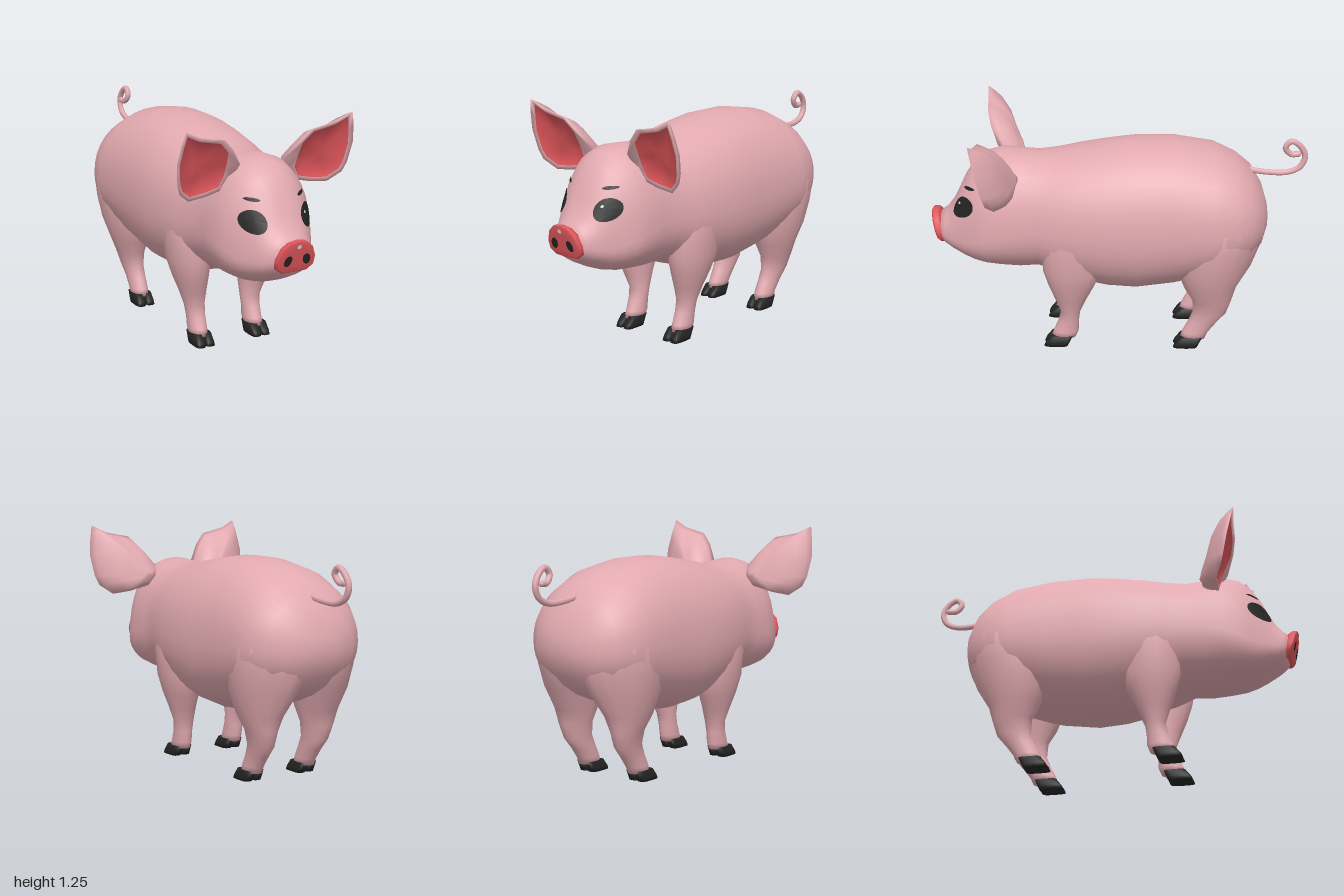
import * as THREE from 'three';

const mat = (name, color) => Object.assign(new THREE.MeshStandardMaterial({ color }), { name });
const lerp = THREE.MathUtils.lerp;
const V = (x, y, z) => new THREE.Vector3(x, y, z);

// Closed skin over equal-length rings of points, wound outward; rings from `split` on get material 1
function loft(rings, split) {
  const n = rings[0].length, pos = [], idx = [];
  rings.forEach(r => r.forEach(p => pos.push(p.x, p.y, p.z)));
  const last = rings.length - 1;
  const centre = r => {
    const c = V(0, 0, 0);
    r.forEach(p => c.addScaledVector(p, 1 / n));
    pos.push(c.x, c.y, c.z);
    return pos.length / 3 - 1;
  };
  const c0 = centre(rings[0]), c1 = centre(rings[last]);
  for (let i = 0; i < n; i++) idx.push(c0, (i + 1) % n, i);
  let splitAt = 0;
  for (let k = 0; k < last; k++) {
    if (k === split) splitAt = idx.length;
    for (let i = 0; i < n; i++) {
      const a = k * n + i, b = k * n + (i + 1) % n;
      idx.push(a, b, b + n, a, b + n, a + n);
    }
  }
  for (let i = 0; i < n; i++) idx.push(c1, last * n + i, last * n + (i + 1) % n);
  // Signed volume decides the winding
  let vol = 0;
  const at = i => V(pos[3 * i], pos[3 * i + 1], pos[3 * i + 2]);
  for (let i = 0; i < idx.length; i += 3) vol += at(idx[i]).dot(at(idx[i + 1]).cross(at(idx[i + 2])));
  if (vol < 0) for (let i = 0; i < idx.length; i += 3) [idx[i + 1], idx[i + 2]] = [idx[i + 2], idx[i + 1]];
  const g = new THREE.BufferGeometry();
  g.setAttribute('position', new THREE.Float32BufferAttribute(pos, 3));
  g.setIndex(idx);
  if (split !== undefined) {
    g.addGroup(0, splitAt, 0);
    g.addGroup(splitAt, idx.length - splitAt, 1);
  }
  g.computeVertexNormals();
  return g;
}

// Torso and head sections from snout to rump: z, bottom, widest height, top, half width
const BODY = [
  [0.955, 0.57, 0.62, 0.70, 0.095], [0.92, 0.535, 0.61, 0.725, 0.118], [0.88, 0.51, 0.6, 0.775, 0.145],
  [0.85, 0.495, 0.6, 0.835, 0.163], [0.81, 0.475, 0.6, 0.92, 0.188], [0.76, 0.455, 0.61, 0.995, 0.218],
  [0.70, 0.44, 0.63, 1.045, 0.25], [0.62, 0.43, 0.66, 1.067, 0.268], [0.52, 0.42, 0.68, 1.06, 0.267],
  [0.42, 0.43, 0.69, 1.05, 0.277], [0.32, 0.39, 0.69, 1.06, 0.312], [0.2, 0.35, 0.69, 1.085, 0.335],
  [0.05, 0.32, 0.69, 1.11, 0.355], [-0.1, 0.31, 0.69, 1.13, 0.357], [-0.3, 0.34, 0.7, 1.13, 0.352],
  [-0.5, 0.4, 0.71, 1.095, 0.36], [-0.62, 0.45, 0.72, 1.035, 0.335], [-0.7, 0.5, 0.72, 0.97, 0.285],
  [-0.76, 0.57, 0.71, 0.87, 0.205], [-0.79, 0.65, 0.71, 0.77, 0.09],
];
const POWER = 0.92;
const bend = v => Math.sign(v) * Math.abs(v) ** POWER;
const bodyRing = ([z, bot, mid, top, hw]) => Array.from({ length: 36 }, (_, i) => {
  const a = i / 36 * Math.PI * 2, s = bend(Math.sin(a));
  return V(hw * bend(Math.cos(a)), mid + s * (s > 0 ? top - mid : mid - bot), z);
});

// Front-most z of the face at (x, y)
function faceZ(x, y) {
  for (let z = 0.95; z > 0.45; z -= 0.001) {
    const k = BODY.findIndex(s => s[0] <= z), a = BODY[k - 1], b = BODY[k];
    const t = (a[0] - z) / (a[0] - b[0]);
    const [, bot, mid, top, hw] = a.map((v, i) => lerp(v, b[i], t));
    const dy = y > mid ? (y - mid) / (top - mid) : (mid - y) / (mid - bot);
    if (Math.abs(x / hw) ** (2 / POWER) + Math.abs(dy) ** (2 / POWER) < 1) return z;
  }
  return 0.45;
}
const snoutZ = (x, y) => 0.957 + (y - 0.555) * 0.25;

// Painted oval laid onto a surface z(x, y)
function patch(cx, cy, rx, ry, tilt, zAt, lift) {
  const g = new THREE.RingGeometry(0.001, 1, 24, 4), p = g.attributes.position;
  for (let i = 0; i < p.count; i++) {
    const u = p.getX(i) * rx, v = p.getY(i) * ry;
    const x = cx + u * Math.cos(tilt) - v * Math.sin(tilt), y = cy + u * Math.sin(tilt) + v * Math.cos(tilt);
    p.setXYZ(i, x, y, zAt(x, y) + lift);
  }
  g.computeVertexNormals();
  return g;
}

// Leg rings: y, back z, front z, inner x, outer x, inward pull of the back
const FRONT_LEG = [
  [0.045, 0.225, 0.36, 0.12, 0.215], [0.08, 0.21, 0.345, 0.118, 0.215], [0.14, 0.208, 0.32, 0.118, 0.217],
  [0.2, 0.2, 0.305, 0.113, 0.225], [0.28, 0.165, 0.335, 0.108, 0.25], [0.36, 0.125, 0.365, 0.1, 0.28],
  [0.46, 0.08, 0.395, 0.09, 0.308], [0.6, 0.08, 0.4, 0.08, 0.323], [0.75, 0.12, 0.37, 0.08, 0.312],
  [0.88, 0.18, 0.33, 0.1, 0.25],
];
const HIND_LEG = [
  [0.045, -0.475, -0.34, 0.12, 0.215], [0.08, -0.49, -0.35, 0.118, 0.215], [0.14, -0.535, -0.38, 0.116, 0.217],
  [0.2, -0.585, -0.405, 0.112, 0.227], [0.28, -0.61, -0.4, 0.1, 0.25], [0.36, -0.635, -0.355, 0.08, 0.285, 0.02],
  [0.48, -0.71, -0.31, 0.05, 0.325, 0.05], [0.6, -0.76, -0.3, 0.03, 0.345, 0.08], [0.72, -0.785, -0.32, 0.02, 0.35, 0.09],
  [0.84, -0.745, -0.36, 0.03, 0.305, 0.07], [0.95, -0.66, -0.42, 0.06, 0.22, 0.04],
];
const flatRing = ([y, z0, z1, x0, x1, pull = 0], side, power = 1, n = 18) => Array.from({ length: n }, (_, i) => {
  const a = i / n * Math.PI * 2, f = v => Math.sign(v) * Math.abs(v) ** power;
  const inward = pull * Math.min(Math.sin(a), 0) ** 2;
  return V(side * ((x0 + x1) / 2 + f(Math.cos(a)) * (x1 - x0) / 2 - inward), y, (z0 + z1) / 2 + f(Math.sin(a)) * (z1 - z0) / 2);
});

// Ear rim, from the inner root over the tip and back below
const EAR = [
  [0.13, 1.04, 0.65], [0.19, 1.125, 0.69], [0.25, 1.188, 0.71], [0.31, 1.2, 0.715], [0.39, 1.217, 0.72], [0.47, 1.255, 0.73],
  [0.487, 1.18, 0.715], [0.5, 1.09, 0.695], [0.485, 0.98, 0.67], [0.465, 0.93, 0.655], [0.4, 0.88, 0.62],
  [0.3, 0.89, 0.615], [0.21, 0.91, 0.61], [0.15, 0.97, 0.62],
];
function earGeometry(side) {
  const back = V(0.22, 0.99, 0.5), inner = V(0.345, 1.04, 0.62);
  const ring = (c, t, bulge, minX) => EAR.map(([x, y, z]) => V(
    side * Math.max(minX, lerp(c.x, x, t)), lerp(c.y, y, t), lerp(c.z, z, t) - bulge * Math.sin(Math.PI * t * t)));
  return loft([
    ...[0.12, 0.35, 0.6, 0.82, 0.93, 1].map(t => ring(back, t, 0.045, 0)),
    ring(inner, 0.86, 0, 0.205), ring(inner, 0.84, 0.005, 0.21), ring(inner, 0.6, 0.012, 0.21), ring(inner, 0.3, 0, 0.21),
  ], 6);
}

export function createModel() {
  const pig = new THREE.Group();
  pig.name = 'pig';
  const pink = mat('skinPink', 0xe2aab0), red = mat('snoutRed', 0xe2575c);
  const black = mat('hoofBlack', 0x242424), pale = mat('highlightPale', 0xe4dcdc);
  const add = (name, geometry, material) => {
    const m = new THREE.Mesh(geometry, material);
    m.name = name;
    pig.add(m);
  };

  add('bodyAndHead', loft(BODY.map(bodyRing)), pink);

  // Snout disc
  const half = [[0.045, 0.718], [0.085, 0.685], [0.108, 0.63], [0.105, 0.585], [0.07, 0.558]];
  const outline = [[0, 0.725], ...half, [0, 0.556], ...half.map(([x, y]) => [-x, y]).reverse()];
  const snoutRing = (s, dz) => outline.map(([x, y]) => {
    const yy = lerp(0.635, y, s);
    return V(x * s, yy, snoutZ(x, yy) + dz);
  });
  add('snout', loft([snoutRing(0.9, -0.045), snoutRing(1, -0.03), snoutRing(1, -0.008), snoutRing(0.93, 0), snoutRing(0.5, 0)]), red);
  add('snoutHighlight', patch(0, 0.695, 0.012, 0.011, 0, snoutZ, 0.004), pale);
  add('leftEyeHighlight', patch(0.132, 0.81, 0.007, 0.007, 0, faceZ, 0.009), pale);
  add('leftEarSpot', patch(0.342, 1.083, 0.022, 0.011, 0, () => 0.632, 0.008), black);

  for (const side of [1, -1]) {
    const tag = side > 0 ? 'left' : 'right';
    // Face details
    add(tag + 'Nostril', patch(side * 0.052, 0.625, 0.021, 0.029, side * 0.35, snoutZ, 0.004), black);
    add(tag + 'Eye', patch(side * 0.15, 0.793, 0.053, 0.056, 0, faceZ, 0.006), black);
    add(tag + 'Eyebrow', patch(side * 0.138, 0.895, 0.032, 0.009, side * 0.1, faceZ, 0.006), black);
    add(tag + 'Ear', earGeometry(side), [pink, red]);

    // Legs with two-toed hooves
    [['Front', FRONT_LEG, 0], ['Hind', HIND_LEG, -0.7]].forEach(([pos, rows, dz]) => {
      add(tag + pos + 'Leg', loft(rows.map(r => flatRing(r, side))), pink);
      [[0.113, 0.169], [0.167, 0.223]].forEach(([x0, x1], i) => add(tag + pos + 'Hoof' + (i + 1), loft([
        flatRing([0, 0.268 + dz, 0.397 + dz, x0, x1], side, 0.6, 16),
        flatRing([0.02, 0.258 + dz, 0.388 + dz, x0, x1], side, 0.6, 16),
        flatRing([0.058, 0.24 + dz, 0.358 + dz, x0 + 0.003, x1 - 0.003], side, 0.6, 16),
      ]), black));
    });
  }

  // Curly tail
  const tail = new THREE.CatmullRomCurve3([
    [0, 0.965, -0.68], [0, 0.95, -0.78], [0, 0.95, -0.89], [0, 0.98, -0.955], [0, 1.04, -0.98],
    [0.004, 1.1, -0.95], [0.006, 1.125, -0.905], [0.004, 1.09, -0.875], [-0.004, 1.05, -0.905], [-0.008, 1.05, -0.945],
  ].map(p => V(...p)));
  add('tail', new THREE.TubeGeometry(tail, 48, 0.016, 8), pink);
  const tip = new THREE.SphereGeometry(0.016, 8, 6);
  tip.translate(-0.008, 1.05, -0.945);
  add('tailTip', tip, pink);
  return pig;
}
